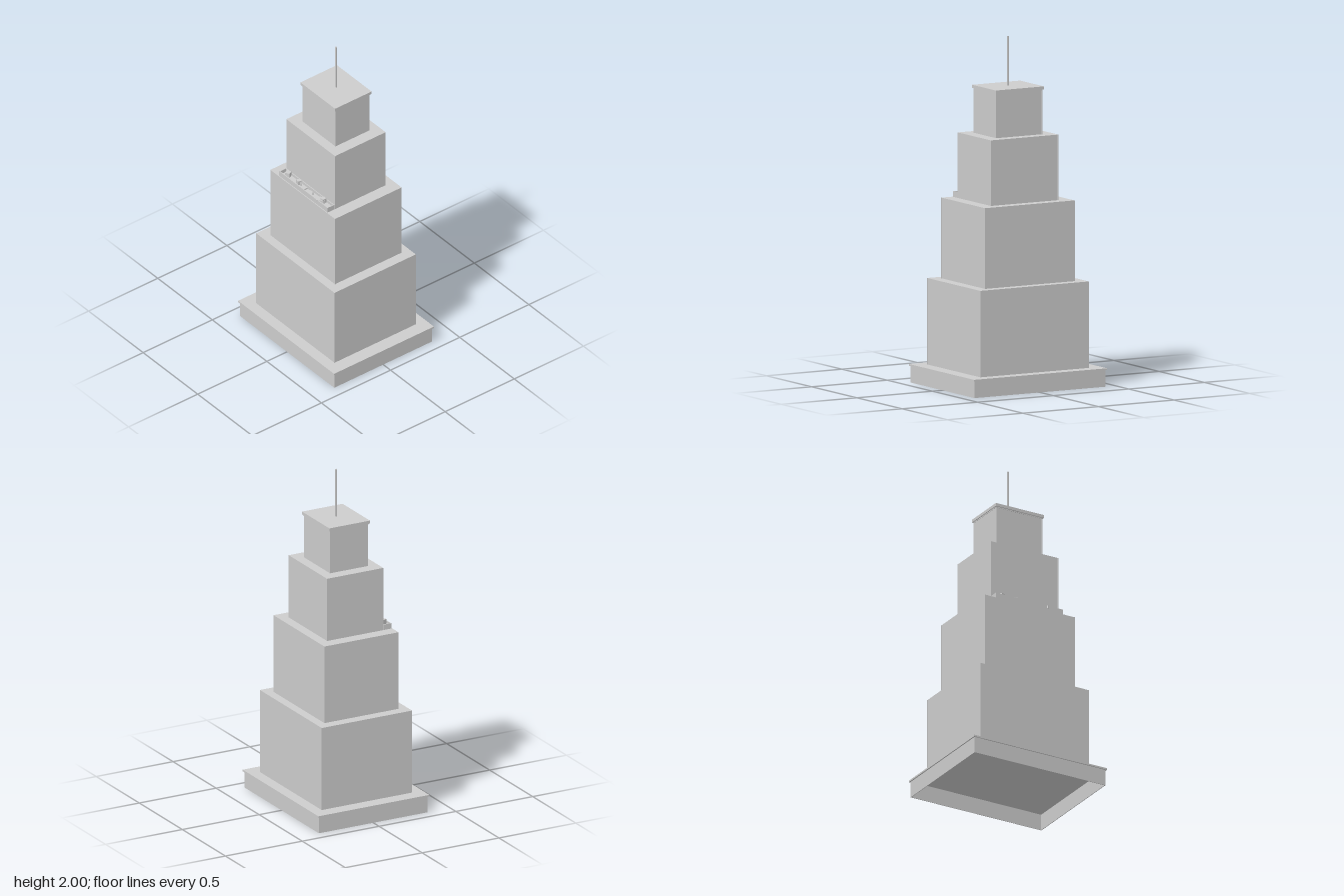
import * as THREE from 'three';

export function createModel() {
  const model = new THREE.Group();
  model.name = 'steppedTower';
  const stone = new THREE.MeshStandardMaterial({ color: 0xcccccc });
  stone.name = 'pale grey';

  const add = (name, geometry, x, y, z, turn = 0, parent = model) => {
    const mesh = new THREE.Mesh(geometry, stone);
    mesh.name = name;
    mesh.position.set(x, y, z);
    mesh.rotation.y = turn;
    parent.add(mesh);
    return mesh;
  };
  // box given by its ranges along each axis
  const block = (name, [x0, x1], [y0, y1], [z0, z1], parent = model) =>
    add(name, new THREE.BoxGeometry(x1 - x0, y1 - y0, z1 - z0),
      (x0 + x1) / 2, (y0 + y1) / 2, (z0 + z1) / 2, 0, parent);
  // four thin walls around a rectangle, open above and below
  const ring = (name, [x0, x1], y, [z0, z1], t) => {
    const group = new THREE.Group();
    group.name = name;
    model.add(group);
    block('frontWall', [x0, x1], y, [z1 - t, z1], group);
    block('backWall', [x0, x1], y, [z0, z0 + t], group);
    block('leftWall', [x1 - t, x1], y, [z0 + t, z1 - t], group);
    block('rightWall', [x0, x0 + t], y, [z0 + t, z1 - t], group);
  };

  // hollow plinth with an overhanging slab
  ring('plinth', [-0.433, 0.433], [0, 0.096], [-0.354, 0.354], 0.004);
  block('plinthSlab', [-0.44, 0.44], [0.096, 0.106], [-0.361, 0.361]);

  // stepped tiers: half width, half depth, bottom, top
  const tiers = [
    [0.359, 0.294, 0.106, 0.602],
    [0.296, 0.241, 0.602, 1.065],
    [0.223, 0.183, 1.065, 1.441],
    [0.152, 0.124, 1.441, 1.692],
  ];
  tiers.forEach(([w, d, y0, y1], i) => {
    block('tier' + (i + 1), [-w, w], [y0, y1], [-d, d]);
    // slim trims on two opposite corners
    for (const s of [-1, 1]) {
      add('cornerTrim', new THREE.BoxGeometry(0.005, y1 - y0, 0.005),
        s * (w - 0.001), (y0 + y1) / 2, s * (d - 0.001));
    }
  });

  // roof cornice and mast
  block('corniceBase', [-0.154, 0.154], [1.692, 1.698], [-0.126, 0.126]);
  block('cornice', [-0.159, 0.159], [1.698, 1.716], [-0.132, 0.132]);
  block('mast', [-0.005, 0.005], [1.716, 2], [-0.005, 0.005]);

  // balcony trough on the front ledge
  ring('balconyWalls', [-0.222, 0.222], [1.065, 1.097], [0.187, 0.236], 0.005);
  block('balconyFloor', [-0.217, 0.217], [1.065, 1.074], [0.192, 0.231]);
  for (const [x0, x1] of [[-0.202, -0.015], [0.015, 0.215]]) {
    block('balconyBench', [x0, x1], [1.074, 1.082], [0.194, 0.229]);
  }
  // small crates: x, z, size, top, turn
  for (const [x, z, s, top, turn] of [
    [-0.17, 0.211, 0.028, 1.11, 0.45],
    [-0.075, 0.21, 0.022, 1.108, -0.25],
    [0.125, 0.216, 0.036, 1.098, 0.6],
    [0.147, 0.207, 0.024, 1.11, 0],
  ]) add('crate', new THREE.BoxGeometry(s, top - 1.082, s), x, (1.082 + top) / 2, z, turn);
  // short pegs
  for (const x of [-0.055, 0.055, 0.16]) {
    add('peg', new THREE.CylinderGeometry(0.004, 0.004, 0.018, 10), x, 1.091, 0.211);
  }
  return model;
}
